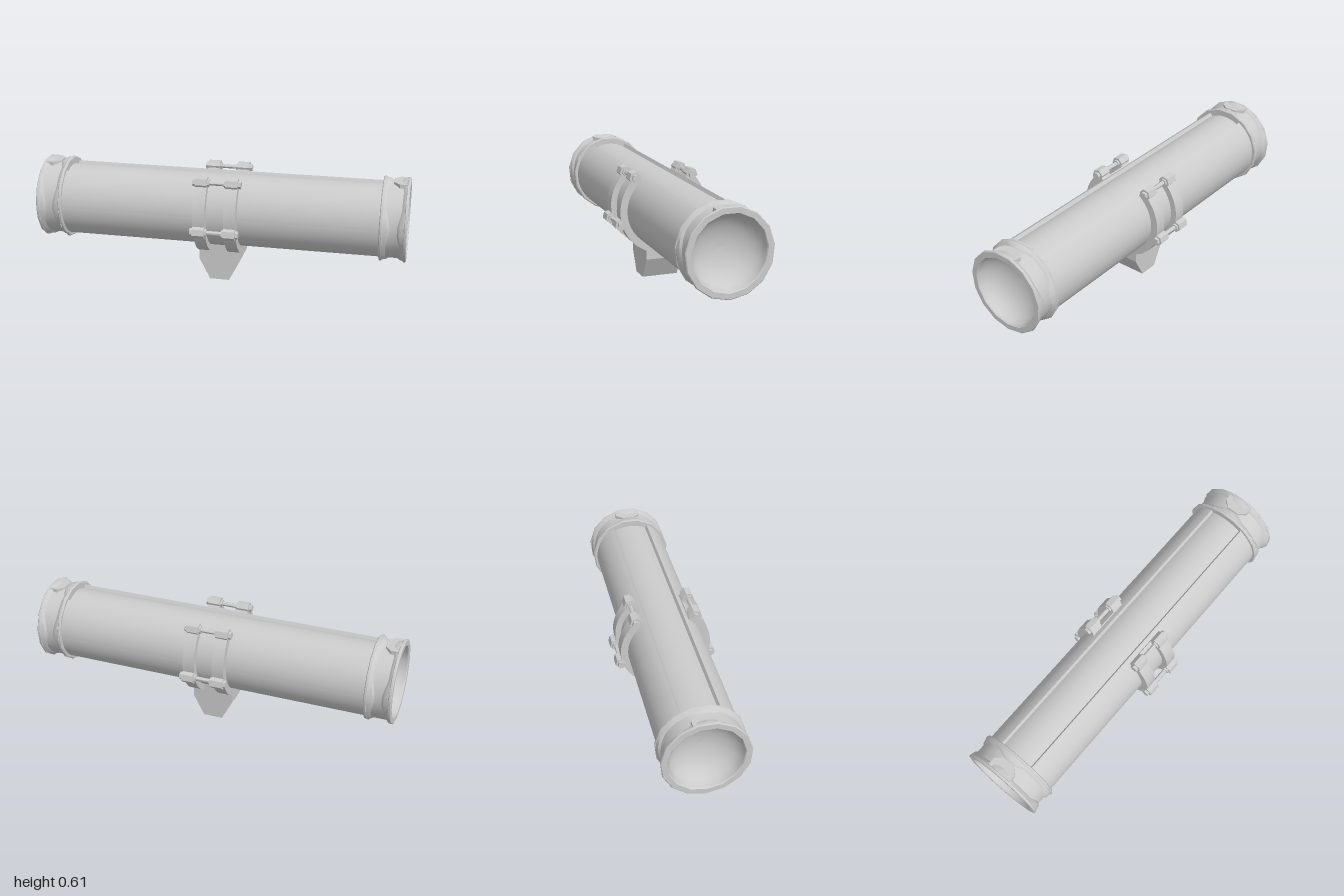
import * as THREE from 'three';
import { toCreasedNormals } from 'three/addons/utils/BufferGeometryUtils.js';

const AXIS = 0.39; // height of the tube's axis
const mat = new THREE.MeshStandardMaterial({ color: 0xcccccc });

function add(parent, name, geo, crease = 0.6) {
  const mesh = new THREE.Mesh(crease ? toCreasedNormals(geo, crease) : geo, mat);
  mesh.name = name;
  parent.add(mesh);
  return mesh;
}

// Revolve [radius, x] points about the x axis, with a corner at the bottom
function revolve(points, segments) {
  const pts = points.map(([r, x]) => new THREE.Vector2(r, x));
  return new THREE.LatheGeometry(pts, segments, Math.PI / 2).rotateZ(-Math.PI / 2);
}

// Thick ring along x from x0 to x1, open at the top by a half angle
function openRing(rOut, rIn, x0, x1, gap, segments) {
  const a = Math.PI / 2 + gap, b = Math.PI * 2.5 - gap;
  const s = new THREE.Shape();
  s.absarc(0, 0, rOut, a, b, false);
  s.absarc(0, 0, rIn, b, a, true);
  return new THREE.ExtrudeGeometry(s, { depth: x1 - x0, bevelEnabled: false, curveSegments: segments })
    .rotateY(Math.PI / 2).translate(x0, 0, 0);
}

function rod(radius, x0, x1, sides) {
  return new THREE.CylinderGeometry(radius, radius, x1 - x0, sides)
    .rotateZ(-Math.PI / 2).translate((x0 + x1) / 2, 0, 0);
}

function endCollar() {
  const g = new THREE.Group();
  g.name = 'endCollar';

  // Inner and outer rims
  add(g, 'innerRim', revolve([[0.17, 0.858], [0.221, 0.858], [0.226, 0.862], [0.226, 0.871], [0.221, 0.875], [0.17, 0.875]], 15));
  add(g, 'outerRim', revolve([[0.17, 0.983], [0.221, 0.983], [0.226, 0.987], [0.226, 0.996], [0.222, 1], [0.194, 1], [0.189, 0.994]], 15));

  // Channel between the rims, pinched narrower at the four quarters
  const web = revolve([[0.221, 0.874], [0.217, 0.882], [0.206, 0.892], [0.206, 0.968], [0.217, 0.978], [0.221, 0.986]], 30);
  const p = web.attributes.position;
  for (let i = 0; i < p.count; i++) {
    const x = p.getX(i), angle = Math.atan2(p.getY(i), p.getZ(i));
    const pinch = Math.max(0, Math.cos(4 * angle)) ** 0.6;
    if (x > 0.878 && x < 0.982) p.setX(i, x + (x < 0.93 ? 1 : -1) * 0.02 * pinch);
  }
  web.computeVertexNormals();
  add(g, 'collarWeb', web, 0.7);

  // Tapered plate on top of the channel
  const s = new THREE.Shape([[0.984, -0.07], [0.984, 0.07], [0.945, 0.07], [0.912, 0.032], [0.912, -0.032], [0.945, -0.07]]
    .map(([x, z]) => new THREE.Vector2(x, z)));
  add(g, 'topPlate', new THREE.ExtrudeGeometry(s, { depth: 0.025, bevelEnabled: false })
    .rotateX(-Math.PI / 2).translate(0, 0.188, 0));

  // Dished end
  const dish = [];
  for (let i = 0; i <= 8; i++) {
    const t = (i / 8) * Math.PI / 2;
    dish.push([0.189 * Math.cos(t), 0.994 - 0.12 * Math.sin(t)]);
  }
  add(g, 'endDish', revolve(dish, 15), 0);
  return g;
}

export function createModel() {
  const model = new THREE.Group();
  model.name = 'mountedTube';
  const body = new THREE.Group();
  body.name = 'tubeAssembly';
  body.position.y = AXIS;
  model.add(body);

  // Core tube showing through the open top of the outer shell
  add(body, 'coreTube', revolve([[0.185, -0.87], [0.185, 0.87]], 45), 0);
  add(body, 'outerShell', openRing(0.205, 0.18, -0.865, 0.865, 0.51, 48));

  // Collars at both ends
  const leftEnd = endCollar();
  const rightEnd = endCollar();
  rightEnd.rotation.y = Math.PI;
  body.add(leftEnd, rightEnd);

  // Clamp: two raised bands over a thin strap
  const clamp = new THREE.Group();
  clamp.name = 'clamp';
  body.add(clamp);
  add(clamp, 'clampStrap', openRing(0.212, 0.195, -0.06, 0.06, 0.64, 30));
  for (const x of [-0.115, 0.05]) {
    add(clamp, 'clampBand', openRing(0.245, 0.195, x, x + 0.065, 0.64, 18), 0.2);
  }

  // Bolts through lugs, two on each side
  for (const side of [-1, 1]) {
    for (const [y, z] of [[0.181, 0.16], [-0.07, 0.242]]) {
      const bolt = new THREE.Group();
      bolt.name = 'clampBolt';
      bolt.position.set(0, y, side * z);
      bolt.rotation.x = -side * Math.atan2(y, z);
      add(bolt, 'boltShaft', rod(0.012, -0.12, 0.12, 8), 0.9);
      for (const e of [-1, 1]) {
        add(bolt, 'boltLug', rod(0.033, e * 0.0825 - 0.0325, e * 0.0825 + 0.0325, 6), 0.2);
        add(bolt, 'boltHead', rod(0.021, e * 0.085 - 0.045, e * 0.085 + 0.045, 6), 0.2);
      }
      clamp.add(bolt);
    }
  }

  // Tapered foot under the clamp
  const foot = new THREE.Shape([[-0.053, 0], [0.053, 0], [0.113, 0.115], [0.113, 0.215], [-0.113, 0.215], [-0.113, 0.115]]
    .map(([x, y]) => new THREE.Vector2(x, y)));
  add(model, 'foot', new THREE.ExtrudeGeometry(foot, { depth: 0.2, bevelEnabled: false }).translate(0, 0, -0.1), 0.2);

  return model;
}
